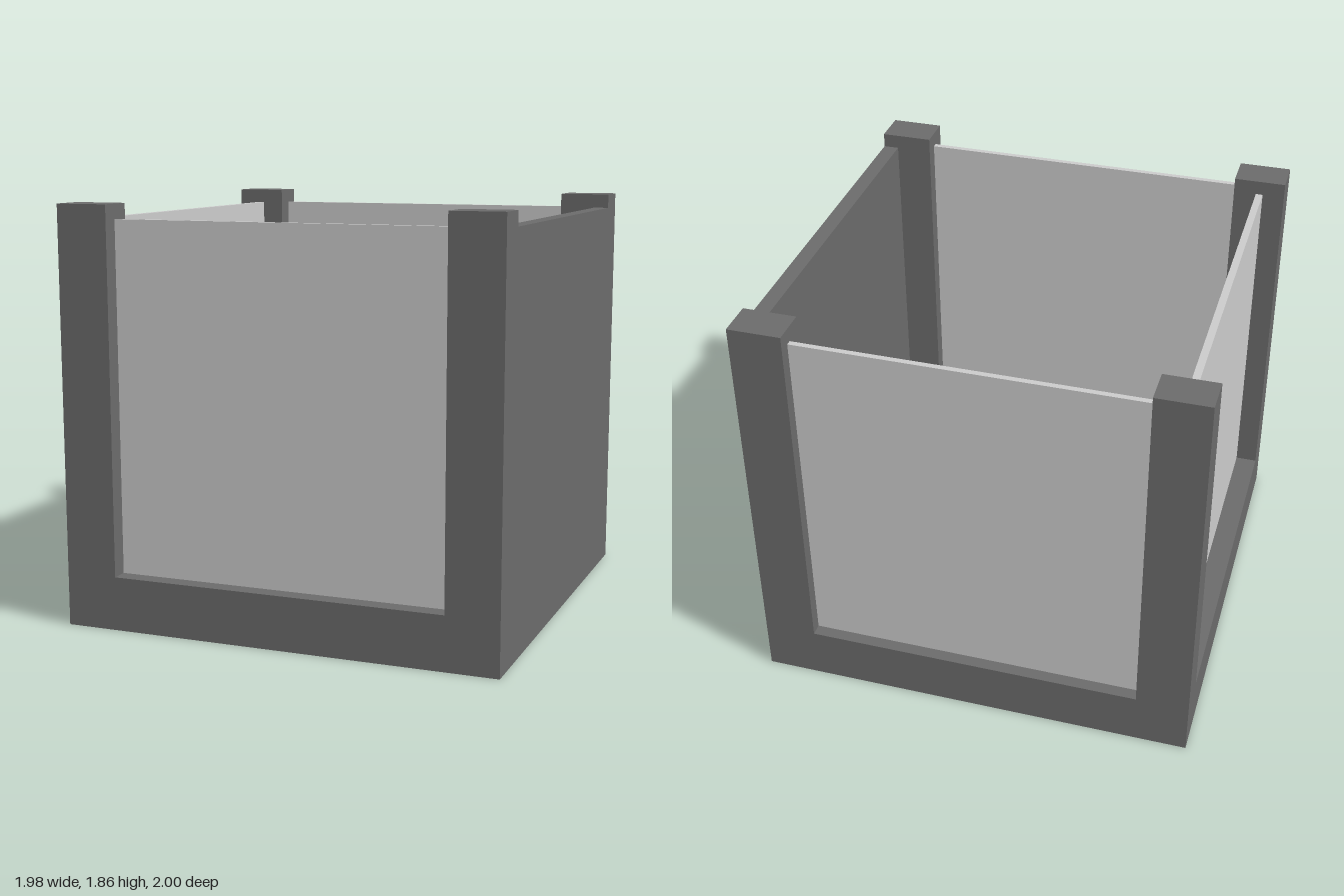
import * as THREE from 'three';

// Overall half sizes, corner post inner faces and heights
const HX = 0.99, HZ = 1, IX = 0.755, IZ = 0.835;
const BASE = 0.24, PANEL_TOP = 1.795, POST_TOP = 1.86;

export function createModel() {
  const group = new THREE.Group();
  const frameMat = new THREE.MeshStandardMaterial({ color: 0x6b6b6b });
  const panelMat = new THREE.MeshStandardMaterial({ color: 0xcccccc });

  // Box given by its limits on each axis
  const box = (name, mat, [x0, x1], [y0, y1], [z0, z1]) => {
    const mesh = new THREE.Mesh(new THREE.BoxGeometry(x1 - x0, y1 - y0, z1 - z0), mat);
    mesh.position.set((x0 + x1) / 2, (y0 + y1) / 2, (z0 + z1) / 2);
    mesh.name = name;
    group.add(mesh);
  };

  // Base frame: one extruded ring with an open middle
  const ring = new THREE.Shape([
    new THREE.Vector2(-HX, -HZ), new THREE.Vector2(HX, -HZ),
    new THREE.Vector2(HX, HZ), new THREE.Vector2(-HX, HZ),
  ]);
  ring.holes.push(new THREE.Path([
    new THREE.Vector2(-IX, -IZ), new THREE.Vector2(-IX, IZ),
    new THREE.Vector2(IX, IZ), new THREE.Vector2(IX, -IZ),
  ]));
  const baseGeo = new THREE.ExtrudeGeometry(ring, { depth: BASE, bevelEnabled: false });
  baseGeo.rotateX(-Math.PI / 2);
  const base = new THREE.Mesh(baseGeo, frameMat);
  base.name = 'baseFrame';
  group.add(base);

  // Four corner posts
  for (const sx of [-1, 1]) for (const sz of [-1, 1]) {
    const x = sx > 0 ? [IX, HX] : [-HX, -IX];
    const z = sz > 0 ? [IZ, HZ] : [-HZ, -IZ];
    box('cornerPost', frameMat, x, [BASE, POST_TOP], z);
  }

  // Solid wall flush with the outside of the left posts
  box('solidWall', frameMat, [0.92, HX], [BASE, PANEL_TOP], [-IZ, IZ]);

  // Thin light panels on the other three sides, and the floor
  box('frontPanel', panelMat, [-IX, IX], [BASE, PANEL_TOP], [0.9, 0.925]);
  box('backPanel', panelMat, [-IX, IX], [BASE, PANEL_TOP], [-0.945, -0.92]);
  box('sidePanel', panelMat, [-0.89, -0.858], [BASE, PANEL_TOP], [-IZ, IZ]);
  box('floorPanel', panelMat, [-IX, IX], [0.11, 0.14], [-IZ, IZ]);

  return group;
}
